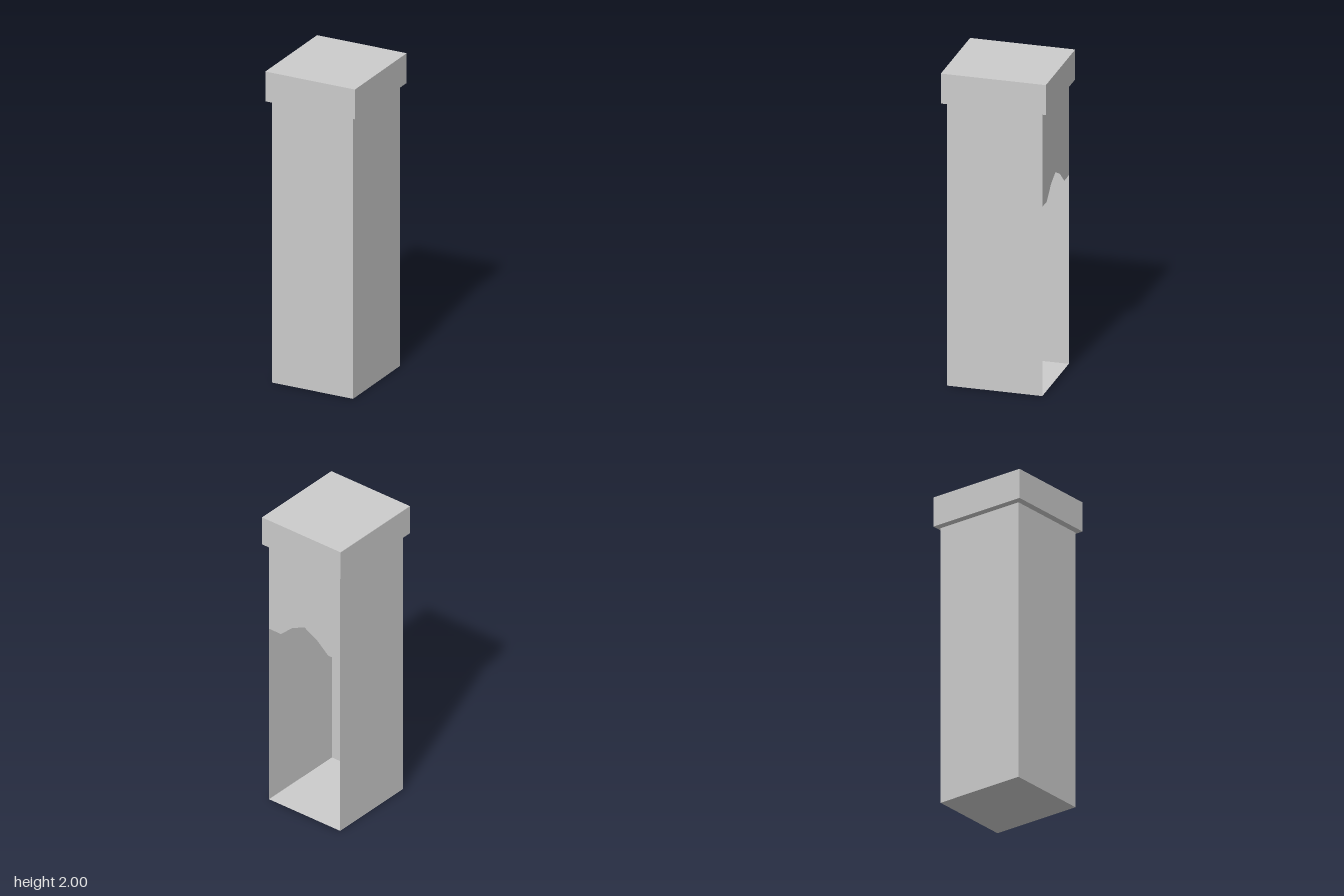
import * as THREE from 'three';

const material = new THREE.MeshStandardMaterial({
  color: 0xcccccc, flatShading: true, side: THREE.DoubleSide,
});

// Half sizes of the shaft and of the wider cap
const SHAFT = { x: 0.273, z: 0.295, top: 1.8 };
const CAP = { x: 0.302, z: 0.326, bottom: 1.809, top: 2 };

function part(name, geometry, x = 0, y = 0, z = 0) {
  const mesh = new THREE.Mesh(geometry, material);
  mesh.name = name;
  mesh.position.set(x, y, z);
  return mesh;
}

// Joins rectangular rings [halfX, halfZ, y], listed from bottom to top
function rectLoft(rings) {
  const positions = [];
  const corner = ([hx, hz, y], i) => {
    const [sx, sz] = [[1, 1], [1, -1], [-1, -1], [-1, 1]][i % 4];
    return [hx * sx, y, hz * sz];
  };
  for (let r = 0; r < rings.length - 1; r++) {
    for (let i = 0; i < 4; i++) {
      const a = corner(rings[r], i), b = corner(rings[r], i + 1);
      const c = corner(rings[r + 1], i + 1), d = corner(rings[r + 1], i);
      positions.push(...a, ...b, ...c, ...a, ...c, ...d);
    }
  }
  const geometry = new THREE.BufferGeometry();
  geometry.setAttribute('position', new THREE.Float32BufferAttribute(positions, 3));
  geometry.computeVertexNormals();
  return geometry;
}

export function createModel() {
  const group = new THREE.Group();
  group.name = 'hollowPillar';
  const { x, z, top } = SHAFT;

  // Thin shaft walls and floor
  group.add(part('frontWall', new THREE.PlaneGeometry(2 * x, top), 0, top / 2, z));
  for (const side of [1, -1]) {
    const wall = new THREE.PlaneGeometry(2 * z, top).rotateY(side * Math.PI / 2);
    group.add(part(side > 0 ? 'leftWall' : 'rightWall', wall, side * x, top / 2, 0));
  }
  group.add(part('floor', new THREE.PlaneGeometry(2 * x, 2 * z).rotateX(Math.PI / 2)));

  // Back wall, broken away below a ragged edge
  const edge = [1.208, 1.207, 1.288, 1.328, 1.281, 1.203, 1.205];
  const shape = new THREE.Shape();
  shape.moveTo(-x, top);
  edge.forEach((y, i) => shape.lineTo(-x + (2 * x * i) / (edge.length - 1), y));
  shape.lineTo(x, top);
  group.add(part('brokenBackWall', new THREE.ShapeGeometry(shape).rotateY(Math.PI), 0, 0, -z));

  // Cap: slightly sloped underside, upright sides and a flat top
  group.add(part('capSides', rectLoft([
    [x, z, top], [CAP.x, CAP.z, CAP.bottom], [CAP.x, CAP.z, CAP.top],
  ])));
  const lid = new THREE.PlaneGeometry(2 * CAP.x, 2 * CAP.z).rotateX(-Math.PI / 2);
  group.add(part('capTop', lid, 0, CAP.top, 0));

  return group;
}
